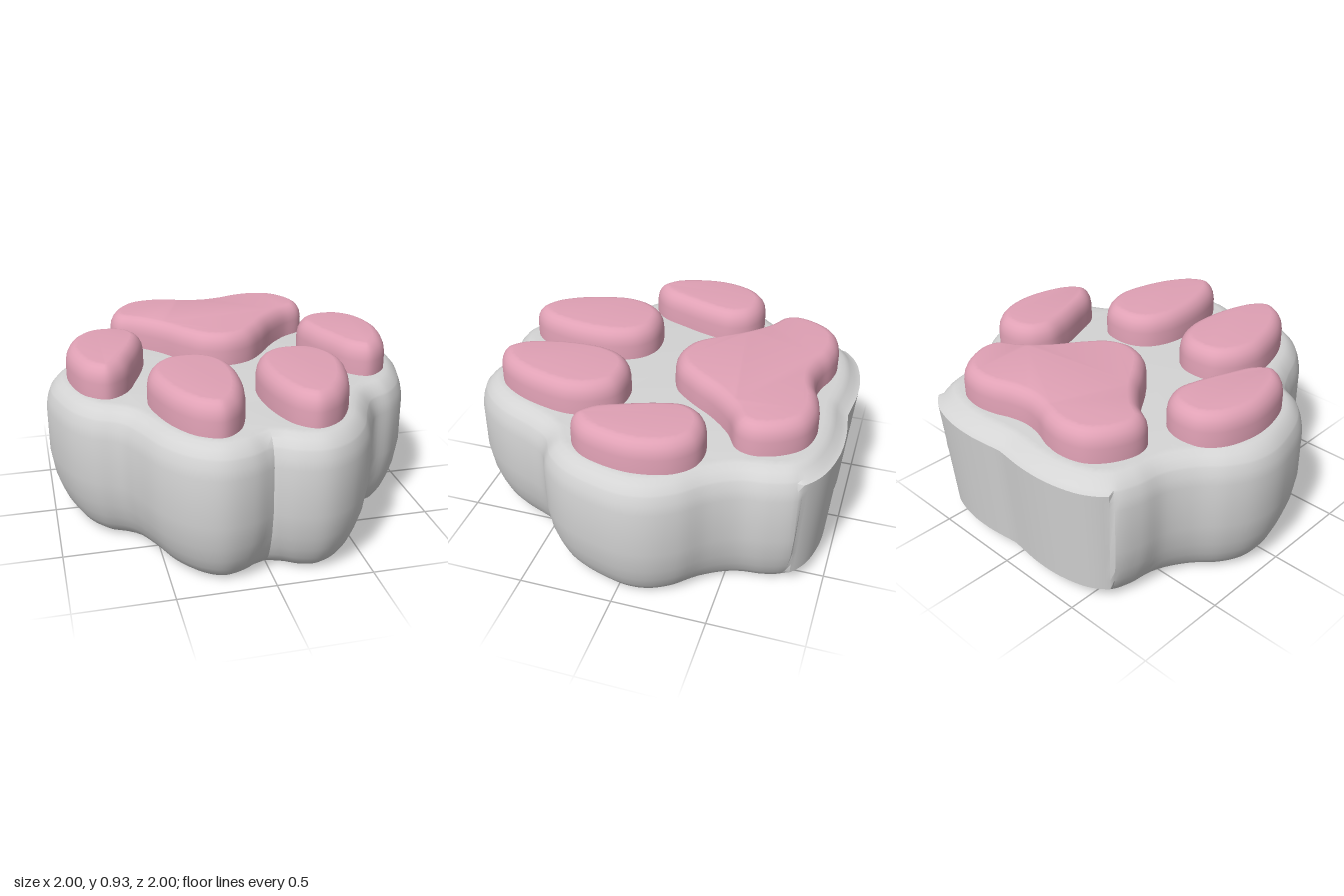
import * as THREE from 'three';
import { toCreasedNormals } from 'three/addons/utils/BufferGeometryUtils.js';

const vec = (pts) => pts.map(([x, z]) => new THREE.Vector3(x, 0, z));
const flat = (pts) => pts.map((p) => new THREE.Vector2(p.x, p.z));
const mirror = (pts) => pts.map(([x, z]) => [-x, z]);
const closedOutline = (pts, n) =>
  flat(new THREE.CatmullRomCurve3(vec(pts), true).getPoints(n).slice(0, -1));

// Solid from a ground outline (x, z): one ring per level, inset along the outline normals
function insetLoft(outline, levels, insetAt) {
  if (THREE.ShapeUtils.area(outline) < 0) outline.reverse();
  const n = outline.length;
  const normals = outline.map((p, i) => {
    const a = outline[(i + n - 1) % n], b = outline[(i + 1) % n];
    return new THREE.Vector2(b.y - a.y, a.x - b.x).normalize();
  });
  const pos = [], index = [];
  for (const [y, side] of levels) {
    outline.forEach((p, i) => {
      const d = insetAt ? insetAt(p, y, side) : side;
      pos.push(p.x - normals[i].x * d, y, p.y - normals[i].y * d);
    });
  }
  for (let k = 0; k < levels.length - 1; k++) {
    for (let i = 0; i < n; i++) {
      const j = (i + 1) % n, a = k * n + i, b = k * n + j;
      index.push(a, a + n, b, b, a + n, b + n);
    }
  }
  // flat bottom and top
  const ring = (k) => outline.map((p, i) =>
    new THREE.Vector2(pos[(k * n + i) * 3], pos[(k * n + i) * 3 + 2]));
  const last = levels.length - 1;
  for (const [a, b, c] of THREE.ShapeUtils.triangulateShape(ring(0), [])) index.push(a, b, c);
  for (const [a, b, c] of THREE.ShapeUtils.triangulateShape(ring(last), [])) {
    index.push(last * n + a, last * n + c, last * n + b);
  }
  const geo = new THREE.BufferGeometry();
  geo.setAttribute('position', new THREE.Float32BufferAttribute(pos, 3));
  geo.setIndex(index);
  return toCreasedNormals(geo, 0.6);
}

export function createModel() {
  const group = new THREE.Group();
  const grey = new THREE.MeshStandardMaterial({ color: 0xd4d4d4 });
  grey.name = 'grey body';
  const pink = new THREE.MeshStandardMaterial({ color: 0xe0a1b5 });
  pink.name = 'pink pad';
  const add = (name, geo, mat) => {
    const mesh = new THREE.Mesh(geo, mat);
    mesh.name = name;
    group.add(mesh);
  };

  // Paw body: half outline from the back notch to the front notch, then mirrored
  const half = flat(new THREE.CatmullRomCurve3(vec([
    [0, -0.98], [0.2, -1], [0.38, -0.99], [0.55, -0.94], [0.66, -0.85], [0.71, -0.72],
    [0.73, -0.58], [0.8, -0.45], [0.91, -0.33], [0.98, -0.2], [1, -0.06], [0.97, 0.1],
    [0.9, 0.28], [0.8, 0.4], [0.68, 0.47], [0.615, 0.58], [0.53, 0.77], [0.42, 0.91],
    [0.31, 0.98], [0.22, 0.997], [0.1, 0.97], [0, 0.91],
  ])).getPoints(110));
  const body = half.concat(
    half.slice(1, -1).reverse().map((p) => new THREE.Vector2(-p.x, p.y)));
  const bodyLevels = [
    [0, 0.17], [0.01, 0.13], [0.035, 0.1], [0.08, 0.07], [0.14, 0.045], [0.22, 0.02],
    [0.35, 0], [0.6, 0], [0.65, 0.01], [0.69, 0.025], [0.7, 0.03], [0.735, 0.06],
    [0.755, 0.09], [0.76, 0.12],
  ];
  // The back wall is a straight sloping panel instead of a rounded side
  const bodyInset = (p, y, side) =>
    p.y < -0.86 && y >= 0.08 && y <= 0.69 ? 0.05 * (0.69 - y) / 0.61 : side;
  add('pawBody', insetLoft(body, bodyLevels, bodyInset), grey);

  // Raised pads with rounded top edges
  const padLevels = [
    [0.72, 0], [0.84, 0], [0.875, 0.006], [0.9, 0.018], [0.918, 0.034], [0.928, 0.05], [0.932, 0.065],
  ];
  const padHalf = [
    [0, -0.8], [0.1, -0.815], [0.2, -0.85], [0.32, -0.865], [0.45, -0.83], [0.54, -0.73],
    [0.58, -0.6], [0.55, -0.51], [0.44, -0.44], [0.33, -0.33], [0.23, -0.19], [0.13, -0.085],
    [0, -0.045],
  ];
  const mainPad = padHalf.concat(mirror(padHalf.slice(1, -1).reverse()));
  add('mainPad', insetLoft(closedOutline(mainPad, 140), padLevels), pink);

  const toes = {
    OuterToePad: [
      [0.65, -0.38], [0.74, -0.36], [0.83, -0.27], [0.88, -0.1], [0.86, 0.08], [0.8, 0.22],
      [0.7, 0.285], [0.6, 0.22], [0.53, 0.07], [0.47, -0.1], [0.45, -0.22], [0.49, -0.315],
      [0.56, -0.365],
    ],
    FrontToePad: [
      [0.29, 0.135], [0.4, 0.16], [0.48, 0.25], [0.515, 0.38], [0.49, 0.54], [0.43, 0.7],
      [0.34, 0.82], [0.23, 0.865], [0.14, 0.8], [0.08, 0.66], [0.05, 0.47], [0.06, 0.32],
      [0.11, 0.21], [0.19, 0.15],
    ],
  };
  for (const [name, pts] of Object.entries(toes)) {
    add('left' + name, insetLoft(closedOutline(pts, 80), padLevels), pink);
    add('right' + name, insetLoft(closedOutline(mirror(pts), 80), padLevels), pink);
  }
  return group;
}
